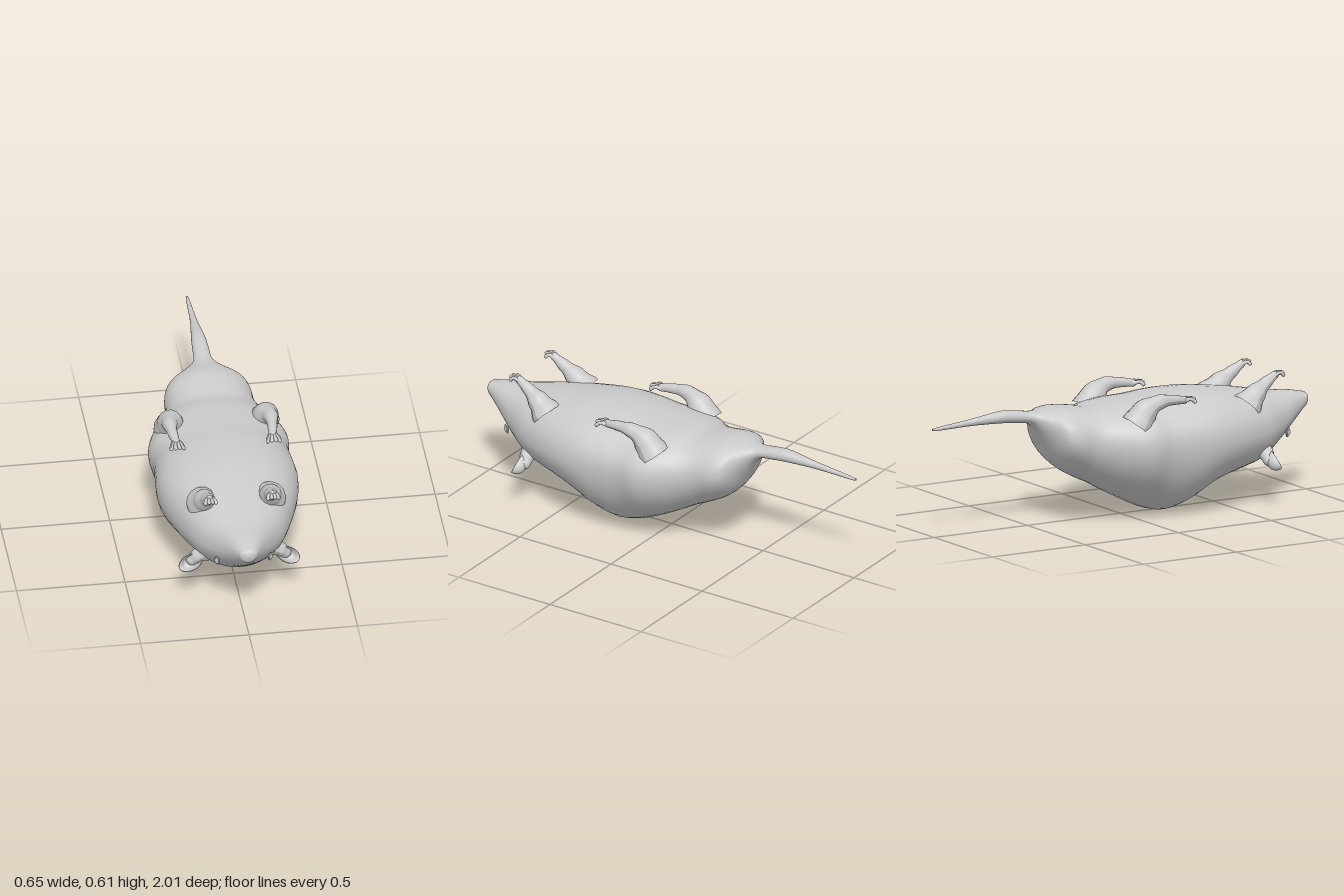
import * as THREE from 'three';

const grey = new THREE.MeshStandardMaterial({ color: 0xcccccc });
const greyTwoSided = new THREE.MeshStandardMaterial({ color: 0xcccccc, side: THREE.DoubleSide });
const V = (p) => new THREE.Vector3(...p);

function named(geometry, name, material = grey) {
  const mesh = new THREE.Mesh(geometry, material);
  mesh.name = name;
  return mesh;
}

// Stations along the body: z, half width, top y, y of the widest point, bottom y
const STATIONS = [
  [-1, 0, 0.503, 0.503, 0.503], [-0.995, 0.007, 0.51, 0.503, 0.496],
  [-0.8, 0.016, 0.53, 0.515, 0.498], [-0.65, 0.032, 0.548, 0.52, 0.493],
  [-0.58, 0.037, 0.545, 0.515, 0.487], [-0.5, 0.042, 0.533, 0.505, 0.475],
  [-0.46, 0.065, 0.53, 0.49, 0.437], [-0.425, 0.115, 0.532, 0.46, 0.375],
  [-0.385, 0.18, 0.537, 0.42, 0.3], [-0.33, 0.202, 0.54, 0.4, 0.245],
  [-0.25, 0.208, 0.53, 0.385, 0.197], [-0.18, 0.238, 0.52, 0.37, 0.165],
  [-0.1, 0.288, 0.53, 0.36, 0.12], [0, 0.323, 0.535, 0.355, 0.068],
  [0.1, 0.313, 0.54, 0.35, 0.022], [0.2, 0.32, 0.548, 0.35, 0],
  [0.3, 0.326, 0.55, 0.345, 0.033], [0.4, 0.312, 0.547, 0.34, 0.09],
  [0.5, 0.285, 0.535, 0.34, 0.125], [0.6, 0.25, 0.522, 0.34, 0.148],
  [0.7, 0.208, 0.503, 0.345, 0.175], [0.8, 0.145, 0.485, 0.355, 0.243],
  [0.9, 0.084, 0.475, 0.395, 0.318], [0.96, 0.052, 0.463, 0.42, 0.37],
  [0.99, 0.034, 0.455, 0.43, 0.395], [1, 0, 0.432, 0.43, 0.428],
];

// One skin from tail tip to nose, with squarer belly and more pointed back
function bodyGeometry(rings = 125, sides = 40) {
  const a = new THREE.CatmullRomCurve3(STATIONS.map((s) => V([s[0], s[1], s[2]])), false, 'catmullrom');
  const b = new THREE.CatmullRomCurve3(STATIONS.map((s) => V([s[3], s[4], 0])), false, 'catmullrom');
  const pow = (v, n) => Math.sign(v) * Math.abs(v) ** (2 / n);
  const positions = [], index = [];
  for (let i = 0; i <= rings; i++) {
    const { x: z, y: w, z: top } = a.getPoint(i / rings);
    const { x: mid, y: bottom } = b.getPoint(i / rings);
    for (let j = 0; j < sides; j++) {
      const t = (j / sides) * Math.PI * 2, s = Math.sin(t);
      const n = s > 0 ? 2.25 : 1.9;
      positions.push(w * pow(Math.cos(t), n), mid + pow(s, n) * (s > 0 ? top - mid : mid - bottom), z);
      if (i === rings) continue;
      const p = i * sides + j, q = i * sides + ((j + 1) % sides);
      index.push(p, q, p + sides, q, q + sides, p + sides);
    }
  }
  const g = new THREE.BufferGeometry();
  g.setAttribute('position', new THREE.Float32BufferAttribute(positions, 3));
  g.setIndex(index);
  g.computeVertexNormals();
  return g;
}

// Tube whose radius follows a list, closed by a round tip
function limb(points, radii, name, steps = 20, sides = 14) {
  const curve = new THREE.CatmullRomCurve3(points.map(V));
  const g = new THREE.TubeGeometry(curve, steps, 1, sides);
  const pos = g.attributes.position, p = new THREE.Vector3();
  for (let i = 0; i <= steps; i++) {
    const c = curve.getPointAt(i / steps);
    const f = (i / steps) * (radii.length - 1), k = Math.min(Math.floor(f), radii.length - 2);
    const r = THREE.MathUtils.lerp(radii[k], radii[k + 1], THREE.MathUtils.smoothstep(f - k, 0, 1));
    for (let j = 0; j <= sides; j++) {
      const n = i * (sides + 1) + j;
      p.fromBufferAttribute(pos, n).sub(c).multiplyScalar(r).add(c);
      pos.setXYZ(n, p.x, p.y, p.z);
    }
  }
  g.computeVertexNormals();
  const group = new THREE.Group();
  group.name = name;
  const tip = named(new THREE.SphereGeometry(radii.at(-1), 12, 8), name + 'Tip');
  tip.position.copy(V(points.at(-1)));
  group.add(named(g, name + 'Skin'), tip);
  return group;
}

// Leg with four fanned toes: [foot point, toe length, toe rise]
function leg(name, points, radii, toeLength, rise, spread) {
  const group = limb(points, radii, name);
  const [x, y, z] = points.at(-1);
  for (let i = 0; i < 4; i++) {
    const d = i - 1.5, reach = toeLength * (1 - 0.08 * d * d);
    const end = [x + d * spread, y + rise - 0.004 * d * d, z + reach];
    group.add(limb([[x + d * spread * 0.4, y, z], [x + d * spread * 0.8, y + rise * 0.7 + 0.004, z + reach * 0.6], end],
      [0.011, 0.008, 0.009], name + 'Toe', 6, 8));
  }
  return group;
}

// Thick-rimmed cup ear on a short root
function ear() {
  const group = new THREE.Group();
  group.name = 'ear';
  const profile = [[0, -0.035], [0.03, -0.03], [0.048, -0.012], [0.053, 0.008], [0.048, 0.013],
    [0.041, 0.006], [0.034, -0.008], [0.02, -0.017], [0, -0.02]].map((p) => new THREE.Vector2(...p));
  const cup = named(new THREE.LatheGeometry(new THREE.SplineCurve(profile).getPoints(24), 28), 'earCup', greyTwoSided);
  cup.scale.set(1.12, 1, 0.72);
  const tilt = new THREE.Group();
  tilt.add(cup);
  tilt.name = 'earTilt';
  tilt.position.set(0.223, 0.208, 0.685);
  cup.rotation.x = 1.05;
  tilt.rotation.z = -0.5;
  group.add(tilt, limb([[0.15, 0.255, 0.67], [0.18, 0.24, 0.67], [0.215, 0.21, 0.665]], [0.045, 0.035, 0.027], 'earRoot'));
  return group;
}

// Eyeball with a slim lid ring
function eye() {
  const group = new THREE.Group();
  group.name = 'eye';
  const lid = named(new THREE.TorusGeometry(0.014, 0.005, 8, 18), 'eyelid');
  group.add(named(new THREE.SphereGeometry(0.014, 16, 12), 'eyeball'), lid);
  group.position.set(0.122, 0.305, 0.826);
  group.rotation.set(0.25, 0.95, 0);
  group.scale.set(0.9, 1.2, 0.8);
  return group;
}

export function createModel() {
  const model = new THREE.Group();
  model.name = 'rodentOnItsBack';
  model.add(named(bodyGeometry(), 'bodyAndTail'));

  // Paired parts, mirrored across x
  for (const side of [1, -1]) {
    const half = new THREE.Group();
    half.name = side > 0 ? 'leftParts' : 'rightParts';
    half.scale.x = side;
    half.add(
      leg('frontLeg', [[0.155, 0.46, 0.58], [0.152, 0.515, 0.635], [0.146, 0.555, 0.69], [0.144, 0.587, 0.74]],
        [0.075, 0.05, 0.03, 0.019], 0.04, 0.01, 0.016),
      leg('hindLeg', [[0.215, 0.45, -0.05], [0.222, 0.522, 0.005], [0.232, 0.552, 0.065], [0.23, 0.554, 0.135], [0.222, 0.545, 0.205]],
        [0.075, 0.06, 0.036, 0.024, 0.018], 0.05, 0.002, 0.019),
      ear(),
      eye(),
    );
    model.add(half);
  }
  return model;
}
